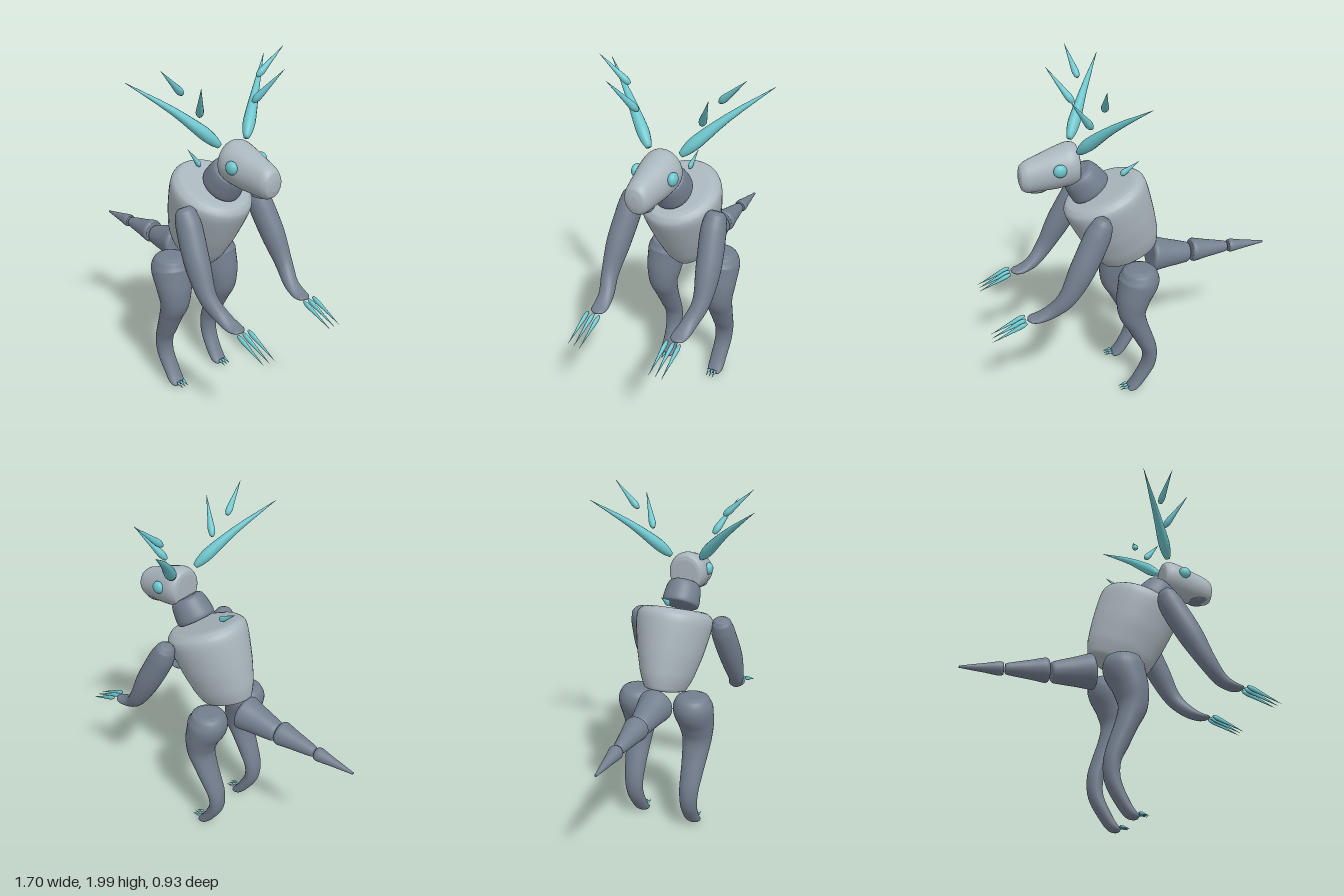
import * as THREE from 'three';

const pale = new THREE.MeshStandardMaterial({ color: 0xa9b5bc, name: 'pale hide' });
const slate = new THREE.MeshStandardMaterial({ color: 0x737e8e, name: 'slate hide' });
const cyan = new THREE.MeshStandardMaterial({ color: 0x6cc6cd, name: 'cyan crystal' });

// Smooth closed body through sections [x, y, z, radius, sideRadius]; dir fixes the section plane
function loft(name, mat, sections, { sides = 28, sub = 5, dir = null } = {}) {
  const path = new THREE.CatmullRomCurve3(sections.map(p => new THREE.Vector3(p[0], p[1], p[2])));
  const size = new THREE.CatmullRomCurve3(sections.map(p => new THREE.Vector3(p[3], p[4] ?? p[3], 0)),
    false, 'catmullrom', 0.4);
  const rings = (sections.length - 1) * sub;
  const pos = [], idx = [];
  for (let i = 0; i <= rings; i++) {
    const c = path.getPoint(i / rings), r = size.getPoint(i / rings);
    const t = dir ? dir.clone().normalize() : path.getTangent(i / rings);
    const s = new THREE.Vector3(0, 0, 1).addScaledVector(t, -t.z).normalize();
    const n = s.clone().cross(t);
    for (let j = 0; j < sides; j++) {
      const a = j / sides * Math.PI * 2;
      const p = c.clone().addScaledVector(n, Math.cos(a) * r.x).addScaledVector(s, Math.sin(a) * r.y);
      pos.push(p.x, p.y, p.z);
    }
  }
  for (let i = 0; i < rings; i++) for (let j = 0; j < sides; j++) {
    const k = (j + 1) % sides, a = i * sides, b = a + sides;
    idx.push(a + j, a + k, b + j, a + k, b + k, b + j);
  }
  // End caps
  const first = sections[0], last = sections[sections.length - 1];
  const c0 = pos.length / 3, c1 = c0 + 1, e = rings * sides;
  pos.push(first[0], first[1], first[2], last[0], last[1], last[2]);
  for (let j = 0; j < sides; j++) {
    const k = (j + 1) % sides;
    idx.push(c0, k, j, c1, e + j, e + k);
  }
  const g = new THREE.BufferGeometry();
  g.setAttribute('position', new THREE.Float32BufferAttribute(pos, 3));
  g.setIndex(idx);
  g.computeVertexNormals();
  const m = new THREE.Mesh(g, mat);
  m.name = name;
  return m;
}

// Crystal spike from base to tip, thickest near the base, with an optional upward bow
function spike(name, base, tip, r, { bow = 0, side = r } = {}) {
  const ring = (f, k) => [
    ...base.map((v, i) => v + (tip[i] - v) * f + (i === 1 ? bow * 4 * f * (1 - f) : 0)), r * k, side * k];
  return loft(name, cyan, [ring(0, 0.45), ring(0.06, 0.8), ring(0.17, 1), ring(0.5, 0.6), ring(1, 0.03)],
    { sides: 12, sub: 3 });
}

// Straight body along an axis in the xy plane; rows are [distance, radius, sideRadius]
function axial(name, mat, origin, axis, rows) {
  const d = new THREE.Vector3(axis[0], axis[1], 0).normalize();
  return loft(name, mat, rows.map(([u, a, b]) => [origin[0] + d.x * u, origin[1] + d.y * u, 0, a, b]),
    { sides: 40, dir: d });
}

// Tapered tail segment with rounded ends
function tailSegment(from, to, r0, r1) {
  const dx = to[0] - from[0], dy = to[1] - from[1], L = Math.hypot(dx, dy);
  return axial('tailSegment', slate, from, [dx, dy], [
    [0, r0 * 0.85], [0.008, r0 * 0.97], [0.025, r0], [L / 2, (r0 + r1) / 2],
    [L - 0.015, r1], [L - 0.004, r1 * 0.9], [L, r1 * 0.75]]);
}

export function createModel() {
  const model = new THREE.Group();
  model.name = 'antleredCreature';

  // Torso and neck, both leaning forward
  model.add(axial('torso', pale, [-0.005, 0.885], [0.355, 0.935], [
    [0, 0.135, 0.085], [0.01, 0.165, 0.11], [0.1, 0.2, 0.15], [0.25, 0.225, 0.19],
    [0.38, 0.238, 0.213], [0.43, 0.235, 0.21], [0.46, 0.21, 0.18], [0.467, 0.18, 0.15]]));
  model.add(axial('neck', slate, [0.215, 1.325], [0.55, 0.83], [
    [0, 0.1, 0.09], [0.008, 0.112, 0.102], [0.03, 0.114, 0.106], [0.09, 0.105, 0.1],
    [0.125, 0.095, 0.09], [0.14, 0.075, 0.07]]));

  // Head: vertical sections from nape to snout
  model.add(loft('head', pale, [
    [0.284, 1.485, 0, 0.085, 0.075], [0.292, 1.492, 0, 0.104, 0.096], [0.33, 1.494, 0, 0.115, 0.108],
    [0.4, 1.481, 0, 0.111, 0.102], [0.5, 1.461, 0, 0.096, 0.082], [0.56, 1.45, 0, 0.085, 0.07],
    [0.588, 1.447, 0, 0.065, 0.055], [0.598, 1.446, 0, 0.03, 0.027]],
  { sides: 40, dir: new THREE.Vector3(1, 0, 0) }));
  const jaw = new THREE.Mesh(new THREE.SphereGeometry(1, 28, 14), slate);
  jaw.name = 'lowerJaw';
  jaw.scale.set(0.065, 0.016, 0.052);
  jaw.position.set(0.515, 1.378, 0);
  jaw.rotation.z = 0.08;
  model.add(jaw);

  // Tail
  model.add(tailSegment([-0.122, 0.85], [-0.362, 0.817], 0.1, 0.06));
  model.add(tailSegment([-0.374, 0.828], [-0.608, 0.81], 0.068, 0.033));
  model.add(tailSegment([-0.618, 0.81], [-0.85, 0.795], 0.038, 0.008));

  // Spike between the shoulders
  model.add(spike('backSpike', [0.05, 1.385, 0], [-0.055, 1.45, 0], 0.018, { side: 0.012 }));

  // Paired parts
  for (const s of [1, -1]) {
    const side = new THREE.Group();
    side.name = s > 0 ? 'leftParts' : 'rightParts';
    model.add(side);

    side.add(loft('leg', slate, [
      [-0.002, 0.885, 0.17 * s, 0.06], [-0.002, 0.868, 0.17 * s, 0.092], [0, 0.81, 0.17 * s, 0.115],
      [0.035, 0.7, 0.178 * s, 0.096, 0.105], [0.045, 0.6, 0.182 * s, 0.079, 0.088],
      [0.012, 0.5, 0.182 * s, 0.061, 0.076], [-0.028, 0.4, 0.18 * s, 0.054, 0.066],
      [-0.064, 0.3, 0.177 * s, 0.045, 0.058], [-0.061, 0.2, 0.174 * s, 0.041, 0.052],
      [-0.012, 0.1, 0.17 * s, 0.034, 0.049], [0.03, 0.042, 0.17 * s, 0.028, 0.048],
      [0.058, 0.028, 0.17 * s, 0.017, 0.04], [0.07, 0.03, 0.17 * s, 0.008, 0.025]]));

    side.add(loft('arm', slate, [
      [0.21, 1.272, 0.25 * s, 0.03, 0.035], [0.222, 1.25, 0.25 * s, 0.052, 0.055],
      [0.255, 1.18, 0.253 * s, 0.07, 0.068], [0.345, 1.01, 0.274 * s, 0.07, 0.066],
      [0.44, 0.848, 0.281 * s, 0.05, 0.047], [0.52, 0.768, 0.257 * s, 0.036, 0.043],
      [0.59, 0.737, 0.247 * s, 0.022, 0.045], [0.63, 0.734, 0.243 * s, 0.014, 0.038],
      [0.65, 0.737, 0.241 * s, 0.007, 0.018]]));

    // Three claws on each hand and foot
    for (const k of [-1, 0, 1]) {
      const z = 0.244 * s + k * 0.036, f = 0.17 * s + k * 0.02;
      side.add(spike('handClaw', [0.66, 0.737, z], [0.85, 0.655, z], 0.014, { side: 0.011 }));
      side.add(spike('footClaw', [0.07, 0.046, f], [0.122, 0.032, f], 0.008));
    }

    // Eye
    const eye = new THREE.Mesh(new THREE.SphereGeometry(0.035, 24, 16), cyan);
    eye.name = 'eye';
    eye.scale.z = 0.7;
    eye.position.set(0.4, 1.505, 0.103 * s);
    side.add(eye);

    // Antler beam and its two floating tines
    side.add(spike('antlerBeam', [0.3, 1.59, 0.092 * s], [0.04, 1.918, 0.462 * s], 0.033, { bow: 0.02 }));
    side.add(spike('antlerTine', [0.25, 1.748, 0.18 * s], [0.37, 1.925, 0.275 * s], 0.02));
    side.add(spike('antlerTine', [0.205, 1.86, 0.25 * s], [0.235, 2.0, 0.4 * s], 0.019));
  }
  return model;
}
